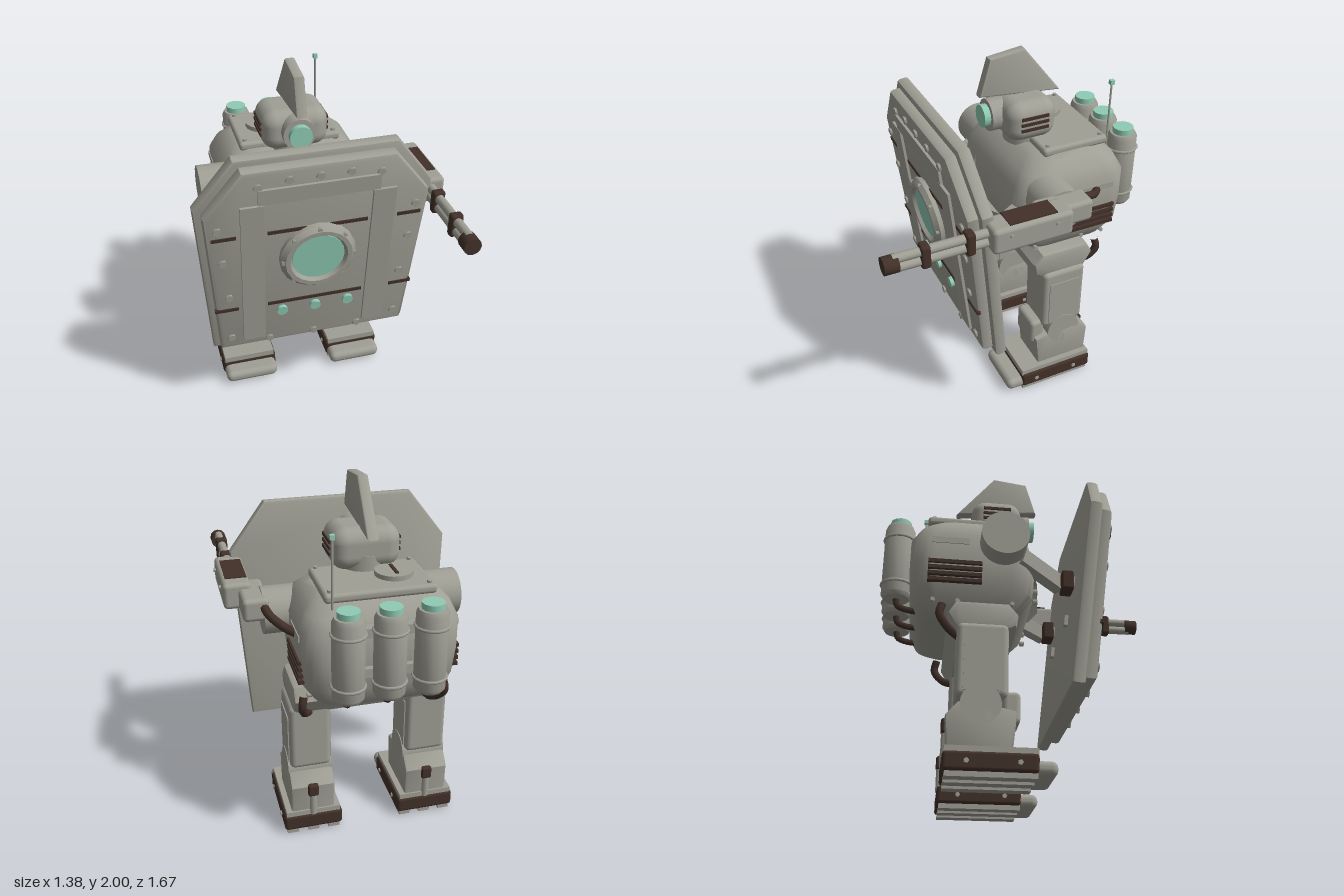
import * as THREE from 'three';
import { RoundedBoxGeometry } from 'three/addons/geometries/RoundedBoxGeometry.js';
import { toCreasedNormals } from 'three/addons/utils/BufferGeometryUtils.js';

const mat = (name, color) => Object.assign(new THREE.MeshStandardMaterial({ color }), { name });

export function createModel() {
  const root = new THREE.Group();
  root.name = 'walker';
  const grey = mat('armourGrey', 0xa09f95);
  const dark = mat('darkBrown', 0x423129);
  const mint = mat('mintGlass', 0x90cbb5);
  const V = (x, y, z) => new THREE.Vector3(x, y, z);

  // Helpers
  const group = (name, x = 0, y = 0, z = 0, parent = root) => {
    const g = new THREE.Group();
    g.name = name;
    g.position.set(x, y, z);
    parent.add(g);
    return g;
  };
  const add = (p, name, geo, m, x = 0, y = 0, z = 0) => {
    const mesh = new THREE.Mesh(geo, m);
    mesh.name = name;
    mesh.position.set(x, y, z);
    p.add(mesh);
    return mesh;
  };
  const box = (w, h, d) => new THREE.BoxGeometry(w, h, d);
  const round = (w, h, d, r = 0.02) => new RoundedBoxGeometry(w, h, d, 2, r);
  const cyl = (r, h, axis = 'y', n = 20, r2 = r) => {
    const g = new THREE.CylinderGeometry(r, r2, h, n);
    if (axis === 'x') g.rotateZ(-Math.PI / 2);
    if (axis === 'z') g.rotateX(Math.PI / 2);
    return g;
  };
  const slab = (pts, depth, bevel) => {
    const shape = new THREE.Shape(pts.map(([a, b]) => new THREE.Vector2(a, b)));
    const g = new THREE.ExtrudeGeometry(shape, {
      depth: depth - 2 * bevel, bevelEnabled: bevel > 0, bevelSize: bevel,
      bevelThickness: bevel, bevelOffset: -bevel, bevelSegments: 2,
    });
    return toCreasedNormals(g.translate(0, 0, bevel - depth / 2), 0.6);
  };
  // Side profile given as [z, y], extruded across x
  const sideSlab = (pts, width, bevel) => slab(pts, width, bevel).rotateY(-Math.PI / 2);
  const hose = (pts, r) => new THREE.TubeGeometry(new THREE.CatmullRomCurve3(pts), 12, r, 8);
  const bolt = (p, x, y, z, axis, r = 0.02, m = grey) => add(p, 'bolt', cyl(r, 0.025, axis, 5), m, x, y, z);

  root.position.x = -0.05;
  const model = new THREE.Group();
  model.name = 'shieldWalker';
  model.add(root);

  // Torso: rounded-rectangle sections [y, zBack, zFront, halfWidth]
  const levels = [
    [0.90, -0.59, -0.13, 0.29], [0.93, -0.63, -0.09, 0.34], [1.03, -0.67, -0.01, 0.40],
    [1.18, -0.68, 0.0, 0.415], [1.34, -0.68, -0.03, 0.415], [1.42, -0.64, -0.08, 0.38],
    [1.47, -0.59, -0.14, 0.33], [1.495, -0.56, -0.18, 0.29],
  ];
  const steps = 6, ring = 4 * (steps + 1), pos = [], idx = [];
  for (const [y, z0, z1, hx] of levels) {
    const r = 0.13, zc = (z0 + z1) / 2, hz = (z1 - z0) / 2;
    for (let c = 0; c < 4; c++) for (let s = 0; s <= steps; s++) {
      const a = (c + s / steps) * Math.PI / 2;
      const sx = c === 0 || c === 3 ? 1 : -1, sz = c < 2 ? 1 : -1;
      pos.push(sx * (hx - r) + r * Math.cos(a), y, zc + sz * (hz - r) + r * Math.sin(a));
    }
  }
  for (let l = 0; l < levels.length - 1; l++) for (let i = 0; i < ring; i++) {
    const a = l * ring + i, b = l * ring + (i + 1) % ring;
    idx.push(a, a + ring, b, b, a + ring, b + ring);
  }
  const top = (levels.length - 1) * ring;
  for (let i = 1; i < ring - 1; i++) idx.push(0, i, i + 1, top, top + i + 1, top + i);
  const torsoGeo = new THREE.BufferGeometry();
  torsoGeo.setAttribute('position', new THREE.Float32BufferAttribute(pos, 3));
  torsoGeo.setIndex(idx);
  const torso = group('torso');
  add(torso, 'torsoShell', toCreasedNormals(torsoGeo, 0.7), grey);

  // Chest plate, top deck and hatch
  const arc = [[-0.26, -0.06], [-0.12, 0.025], [0, 0.06], [0.12, 0.025], [0.26, -0.06]];
  add(torso, 'chestPlate', slab([...arc, [0.2, -0.1], [-0.2, -0.1]], 0.2, 0.01)
    .rotateX(Math.PI / 2).scale(1, -1, 1).rotateZ(Math.PI), grey, 0, 1.2, 0);
  add(torso, 'topDeck', round(0.58, 0.05, 0.39), grey, 0, 1.505, -0.4);
  for (const x of [-0.255, 0.255]) for (const z of [-0.56, -0.24]) bolt(torso, x, 1.53, z, 'y', 0.013);
  add(torso, 'hatch', cyl(0.1, 0.03), grey, -0.115, 1.54, -0.41);
  add(torso, 'hatchSlot', box(0.016, 0.01, 0.12), dark, -0.115, 1.558, -0.41);
  for (const s of [-1, 1]) {
    for (let i = 0; i < 4; i++) add(torso, 'sideVent', box(0.05, 0.02, 0.285), dark, s * 0.402, 1.06 + i * 0.036, -0.44);
    for (const z of [-0.13, -0.42, -0.55]) bolt(torso, s * 0.365, 0.965, z, 'x', 0.013);
    for (const y of [1.03, 1.09]) bolt(torso, s * 0.28, y, 0.005, 'z', 0.016);
    add(torso, 'sideRib', box(0.04, 0.035, 0.2), grey, s * 0.4, 1.3, -0.47);
  }

  // Antenna
  add(torso, 'antennaRod', cyl(0.006, 0.36, 'y', 6), grey, 0.255, 1.64, -0.61);
  add(torso, 'antennaTip', box(0.024, 0.024, 0.024), mint, 0.255, 1.83, -0.61);

  // Head with crest, single eye and cheek vents
  const head = group('head', 0, 1.64, -0.2);
  add(head, 'neck', cyl(0.12, 0.14), grey, 0, -0.1, -0.03);
  add(head, 'skull', new RoundedBoxGeometry(0.37, 0.225, 0.29, 4, 0.08), grey);
  add(head, 'eyeRing', cyl(0.09, 0.1, 'z', 16), grey, 0, 0.01, 0.15);
  add(head, 'eye', cyl(0.063, 0.05, 'z', 16), mint, 0, 0.01, 0.21);
  add(head, 'crest', sideSlab([[0.05, 1.77], [-0.01, 1.975], [-0.21, 2.0], [-0.43, 1.725]].reverse(), 0.06, 0.012), grey, 0, -1.64, 0.2);
  for (const s of [-1, 1]) for (let i = -1; i < 2; i++)
    add(head, 'cheekVent', box(0.02, 0.017, 0.16), dark, s * 0.181, 0.005 + i * 0.033, 0);

  // Back canisters
  for (const x of [-0.21, 0, 0.21]) {
    const can = group('canister', x, 0, -0.745);
    add(can, 'canisterBody', toCreasedNormals(new THREE.LatheGeometry(
      [[0, 1.03], [0.07, 1.03], [0.083, 1.05], [0.083, 1.455], [0.072, 1.48], [0, 1.48]]
        .map(([r, y]) => new THREE.Vector2(r, y)), 14), 0.6), grey);
    add(can, 'canisterCap', cyl(0.058, 0.035, 'y', 12), mint, 0, 1.495, 0);
    for (const y of [1.11, 1.39])
      add(can, 'canisterBand', new THREE.TorusGeometry(0.084, 0.009, 6, 16).rotateX(Math.PI / 2), grey, 0, y, 0);
    add(can, 'canisterHose', hose([V(0, 1.04, 0), V(0, 0.995, 0.01), V(0, 0.975, 0.05), V(0, 0.965, 0.12)], 0.018), dark);
  }
  for (const y of [1.14, 1.36]) add(torso, 'canisterBracket', box(0.5, 0.05, 0.06), grey, 0, y, -0.68);

  // Hips
  add(root, 'pelvis', sideSlab([[-0.10, 0.88], [-0.15, 0.94], [-0.43, 0.94], [-0.47, 0.87],
    [-0.41, 0.77], [-0.19, 0.77], [-0.11, 0.81]], 0.86, 0.025), grey);

  // Legs
  for (const s of [-1, 1]) {
    const leg = group(s > 0 ? 'leftLeg' : 'rightLeg', s * 0.335, 0, 0);
    add(leg, 'hipHose', hose([V(s * 0.05, 0.93, -0.5), V(s * 0.06, 0.87, -0.51), V(s * 0.04, 0.8, -0.46), V(0, 0.77, -0.4)], 0.022), dark);
    add(leg, 'thigh', round(0.23, 0.4, 0.265, 0.03), grey, 0, 0.61, -0.285);
    for (const k of [-1, 1]) add(leg, 'thighPanel', box(0.008, 0.29, 0.19), grey, k * 0.117, 0.585, -0.285);
    add(leg, 'knee', cyl(0.103, 0.25, 'x', 24), grey, 0, 0.37, -0.29);
    add(leg, 'kneePad', round(0.19, 0.165, 0.09, 0.025), grey, 0, 0.37, -0.135);
    add(leg, 'calf', sideSlab([[-0.11, 0.34], [-0.13, 0.14], [-0.45, 0.14], [-0.46, 0.31],
      [-0.4, 0.38], [-0.2, 0.36]].reverse(), 0.25, 0.015), grey);
    add(leg, 'anklePiston', cyl(0.022, 0.16, 'y', 10), grey, 0, 0.2, -0.45);
    add(leg, 'pistonCap', round(0.06, 0.075, 0.06, 0.012), dark, 0, 0.285, -0.445);
    add(leg, 'footTop', box(0.31, 0.035, 0.45), grey, 0, 0.13, -0.235);
    add(leg, 'footBand', round(0.335, 0.095, 0.46, 0.018), dark, 0, 0.073, -0.238);
    for (const x of [-0.12, 0, 0.12]) add(leg, 'soleTread', box(0.065, 0.035, 0.44), grey, x, 0.0175, -0.235);
    add(leg, 'toe', round(0.32, 0.075, 0.16, 0.034), grey, 0, 0.055, 0.005);
    for (const k of [-1, 1]) for (const z of [-0.1, -0.355]) bolt(leg, k * 0.162, 0.072, z, 'x', 0.014);
  }

  // Shoulders and braces that carry the shield
  for (const s of [-1, 1]) {
    const arm = group(s > 0 ? 'leftShoulder' : 'rightShoulder');
    add(arm, 'shoulderDrum', cyl(0.128, 0.2, 'x', 28), grey, s * 0.44, 1.3, -0.185);
    const a = V(s * 0.36, 1.235, -0.1), b = V(s * 0.325, 1.135, 0.16);
    const beam = add(arm, 'shieldBrace', box(0.07, 0.085, a.distanceTo(b)), grey);
    beam.position.copy(a).lerp(b, 0.5);
    beam.lookAt(b);
    add(arm, 'braceClamp', round(0.108, 0.11, 0.065, 0.01), dark, s * 0.325, 1.135, 0.173);
    add(arm, 'braceFoot', box(0.06, 0.06, 0.06), grey, s * 0.325, 1.135, 0.22);
  }

  // Gun arm
  const gun = group('gunArm', 0.65, 1.365, 0);
  add(gun, 'elbow', round(0.14, 0.125, 0.3, 0.025), grey, -0.07, -0.015, -0.155);
  add(gun, 'gunHousing', round(0.15, 0.145, 0.44, 0.025), grey, 0.005, 0.005, 0.075);
  add(gun, 'housingPlate', box(0.115, 0.008, 0.26), dark, 0, 0.08, 0.07);
  for (const z of [-0.05, 0.2]) bolt(gun, 0.08, 0.03, z, 'x', 0.012);
  for (const y of [-0.027, 0.027]) add(gun, 'barrel', cyl(0.025, 0.5, 'z', 12), grey, 0, y, 0.53);
  for (const z of [0.39, 0.62]) add(gun, 'barrelClamp', round(0.068, 0.13, 0.05, 0.015), dark, 0, 0, z);
  add(gun, 'muzzle', toCreasedNormals(cyl(0.047, 0.075, 'z', 12), 0.6), dark, 0, 0, 0.7925);
  add(gun, 'armHose', hose([V(-0.24, -0.08, -0.47), V(-0.19, -0.06, -0.43), V(-0.13, -0.02, -0.37), V(-0.11, 0, -0.29)], 0.023), dark);

  // Shield, leaning forward at the top
  const shield = group('shield', 0, 1.1, 0.245);
  shield.rotation.x = 0.11;
  const outline = (t, m, b, y2, y1, y0) => [[-b, y0], [b, y0], [m, y1], [t, y2], [-t, y2], [-m, y1]];
  add(shield, 'backPlate', slab(outline(0.43, 0.64, 0.575, 0.645, 0.37, -0.645), 0.07, 0.018), grey);
  add(shield, 'frontPlate', slab(outline(0.4, 0.6, 0.54, 0.61, 0.355, -0.6), 0.08, 0.022), grey, 0, 0, 0.057);
  const F = 0.097;
  add(shield, 'topStrip', box(0.64, 0.09, 0.03), grey, 0, 0.46, F);
  for (const s of [-1, 1]) {
    add(shield, 'sideStrip', box(0.125, 0.95, 0.03), grey, s * 0.35, -0.065, F);
    add(shield, 'backBracket', box(0.035, 0.06, 0.03), grey, s * 0.22, -0.15, -0.04);
    for (const y of [0.22, -0.29]) add(shield, 'sideStripe', box(s * s * 0.13, 0.02, 0.02), dark, s * 0.5, y, F - 0.004);
    for (const [x, y] of [[0.32, 0.52], [0.16, 0.545], [0.53, 0.28], [0.51, 0.06], [0.485, -0.195], [0.48, -0.51], [0.26, -0.565]])
      bolt(shield, s * x, y, F, 'z', 0.024);
  }
  for (const y of [0.545, -0.565]) bolt(shield, 0, y, F, 'z', 0.024);
  for (const y of [0.22, -0.29]) add(shield, 'middleStripe', box(0.54, 0.02, 0.02), dark, 0, y, F - 0.004);
  for (const x of [-0.19, 0, 0.19]) add(shield, 'lamp', cyl(0.031, 0.04, 'z', 12), mint, x, -0.35, F);

  // Porthole
  const port = group('porthole', 0, 0.03, F, shield);
  const rim = new THREE.LatheGeometry([[0.21, -0.01], [0.21, 0.025], [0.185, 0.05], [0.16, 0.05], [0.142, 0.02], [0.142, -0.01]]
    .map(([r, y]) => new THREE.Vector2(r, y)), 20).rotateX(Math.PI / 2);
  add(port, 'portholeRim', toCreasedNormals(rim, 0.5), grey);
  add(port, 'portholeGlass', cyl(0.145, 0.04, 'z', 20), mint, 0, 0, 0.012);
  for (let i = 0; i < 8; i++) {
    const a = i * Math.PI / 4;
    bolt(port, 0.193 * Math.cos(a), 0.193 * Math.sin(a), 0.035, 'z', 0.014);
  }
  return model;
}
